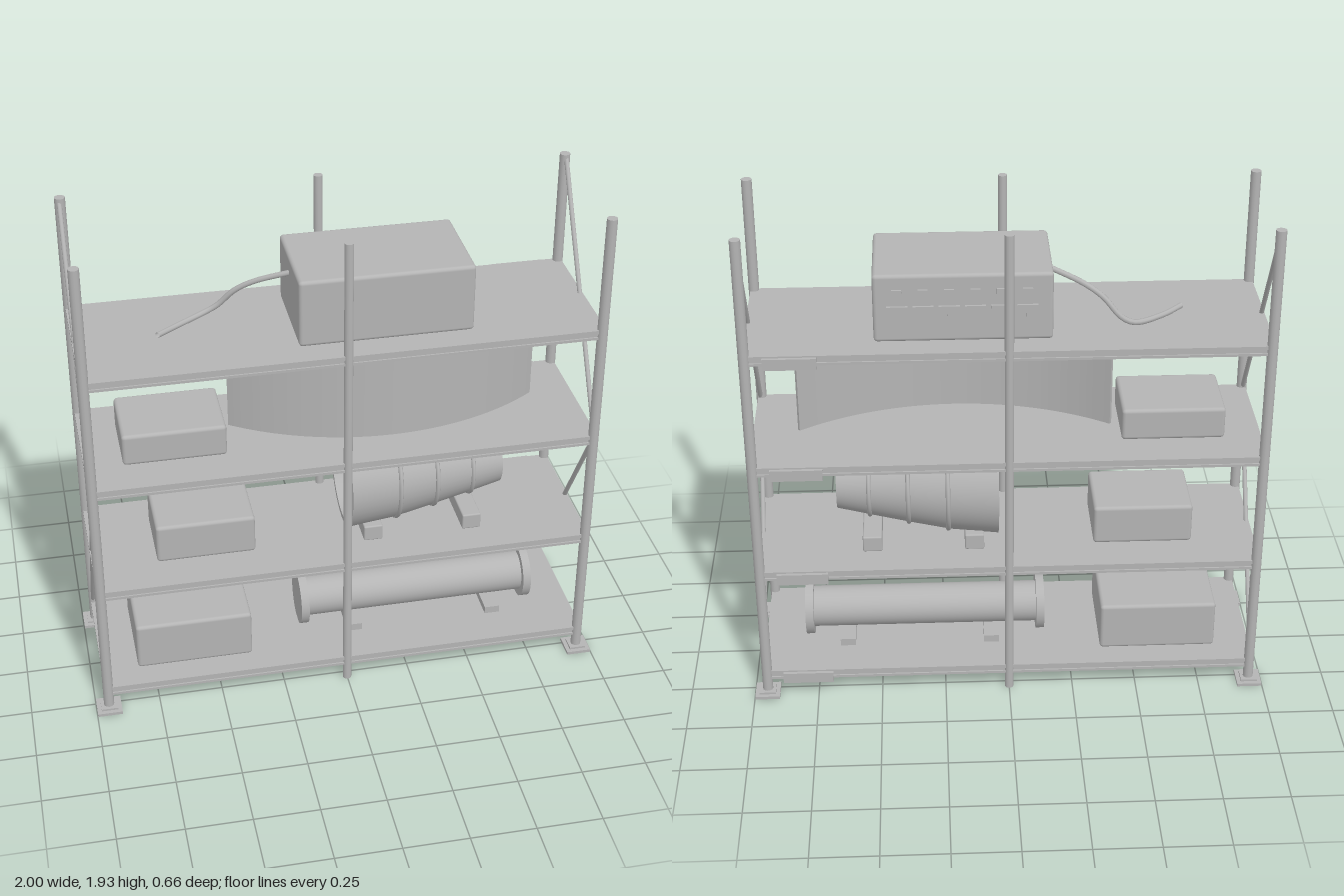
import * as THREE from 'three';
import { RoundedBoxGeometry } from 'three/addons/geometries/RoundedBoxGeometry.js';

export function createModel() {
  const model = new THREE.Group();
  model.name = 'storageRack';
  const grey = new THREE.MeshStandardMaterial({ color: 0xb4b4b4 });
  grey.name = 'grey';
  const greyDouble = new THREE.MeshStandardMaterial({ color: 0xb4b4b4, side: THREE.DoubleSide });
  greyDouble.name = 'grey';

  const add = (name, geo, x = 0, y = 0, z = 0, mat = grey) => {
    const m = new THREE.Mesh(geo, mat);
    m.name = name;
    m.position.set(x, y, z);
    model.add(m);
    return m;
  };
  // box given by its extents on each axis
  const box = (name, [x0, x1], [y0, y1], [z0, z1], round = 0) => {
    const s = [x1 - x0, y1 - y0, z1 - z0];
    const geo = round ? new RoundedBoxGeometry(...s, 2, round) : new THREE.BoxGeometry(...s);
    return add(name, geo, (x0 + x1) / 2, (y0 + y1) / 2, (z0 + z1) / 2);
  };
  // round bar between two points
  const bar = (name, a, b, r) => {
    const p = new THREE.Vector3(...a), q = new THREE.Vector3(...b);
    const d = q.clone().sub(p);
    const m = add(name, new THREE.CylinderGeometry(r, r, d.length(), 12));
    m.position.copy(p.add(q).multiplyScalar(0.5));
    m.quaternion.setFromUnitVectors(new THREE.Vector3(0, 1, 0), d.normalize());
    return m;
  };

  // posts and feet
  const H = 1.935;
  for (const z of [-0.28, 0.28]) {
    for (const x of [-0.95, 0.95]) {
      bar('cornerPost', [x, 0, z], [x, H, z], 0.02);
      box('footPlate', [x - 0.048, x + 0.048], [0, 0.012], [z - 0.048, z + 0.048]);
      box('footCollar', [x - 0.032, x + 0.032], [0.012, 0.02], [z - 0.032, z + 0.032]);
    }
    bar('middlePost', [0, 0, z], [0, H, z], 0.017);
  }

  // diagonal end braces
  for (const x of [-0.953, 0.953]) {
    bar('upperBrace', [x, 1.92, -0.27], [x, 1.03, 0.27], 0.009);
    bar('lowerBrace', [x, 1.0, 0.27], [x, 0.12, -0.27], 0.009);
  }

  // shelves with channel-shaped edge rails and a back label plate
  for (const top of [0.107, 0.567, 1.025, 1.485]) {
    box('shelfDeck', [-0.963, 0.963], [top - 0.014, top], [-0.29, 0.29]);
    for (const s of [-1, 1]) {
      const span = (a, b) => [Math.min(a * s, b * s), Math.max(a * s, b * s)];
      box('railWeb', [-0.963, 0.963], [top - 0.03, top - 0.014], span(0.274, 0.284));
      box('railLip', [-0.963, 0.963], [top - 0.038, top - 0.028], span(0.27, 0.29));
    }
    box('labelPlate', [0.69, 0.885], [top - 0.05, top - 0.006], [-0.303, -0.29]);
  }

  // storage boxes
  box('bottomBox', [-0.82, -0.365], [0.108, 0.305], [-0.195, 0.195], 0.014);
  box('secondBox', [-0.715, -0.333], [0.57, 0.73], [-0.145, 0.145], 0.014);
  box('thirdBox', [-0.82, -0.43], [1.028, 1.155], [-0.145, 0.145], 0.014);

  // instrument case with rear sockets and hose
  box('instrumentCase', [-0.163, 0.487], [1.487, 1.75], [-0.198, 0.195], 0.014);
  for (let i = 0; i < 6; i++) {
    const x = -0.07 + i * 0.094;
    box('rearSocket', [x - 0.018, x + 0.018], [1.672, 1.695], [-0.208, -0.196]);
    box('rearHandle', [x - 0.038, x + 0.038], [1.618, 1.63], [-0.208, -0.196]);
    box('rearStem', [x - 0.006, x + 0.006], [1.58, 1.618], [-0.206, -0.196]);
  }
  const hosePath = new THREE.CatmullRomCurve3([
    [-0.15, 1.69, -0.005], [-0.283, 1.64, -0.055], [-0.353, 1.596, -0.082], [-0.417, 1.527, -0.106],
    [-0.465, 1.503, -0.105], [-0.578, 1.497, -0.035], [-0.655, 1.503, 0.03],
  ].map((p) => new THREE.Vector3(...p)));
  add('hose', new THREE.TubeGeometry(hosePath, 32, 0.011, 8), 0, 0, 0, greyDouble);

  // curved panel, bulging to the front
  const R = 1.027, zc = 0.155 - R, half = Math.asin(0.595 / R), t = 0.012;
  const arc = new THREE.Shape();
  arc.absarc(0, 0, R, Math.PI / 2 - half, Math.PI / 2 + half, false);
  arc.absarc(0, 0, R - t, Math.PI / 2 + half, Math.PI / 2 - half, true);
  arc.closePath();
  const panelGeo = new THREE.ExtrudeGeometry(arc, { depth: 0.375, bevelEnabled: false, curveSegments: 24 });
  panelGeo.rotateX(Math.PI / 2);
  add('curvedPanel', panelGeo, 0.195, 1.42, zc);

  // tapered nozzle: hollow at the wide end, closed at the narrow end
  const profile = [
    [0, 0.62], [0.105, 0.62], [0.105, 0.62], [0.133, 0.495], [0.165, 0.345], [0.196, 0.19], [0.216, 0],
    [0.216, 0], [0.196, 0], [0.196, 0], [0.176, 0.19], [0.145, 0.345], [0.09, 0.6], [0.09, 0.6], [0, 0.6],
  ].map(([r, h]) => new THREE.Vector2(r, h));
  const nozzle = add('nozzle', new THREE.LatheGeometry(profile, 40), 0.035, 0.795, 0, greyDouble);
  nozzle.rotation.z = -Math.PI / 2;
  for (const [x, r] of [[0.228, 0.196], [0.38, 0.166], [0.53, 0.134]]) {
    add('nozzleRing', new THREE.TorusGeometry(r, 0.009, 8, 40), x, 0.795, 0).rotation.y = Math.PI / 2;
  }
  for (const x of [0.128, 0.522]) {
    box('nozzleSupport', [x - 0.037, x + 0.037], [0.567, 0.632], [-0.16, 0.16], 0.006);
  }

  // flanged cylinder on low blocks
  bar('cylinderBody', [-0.13, 0.213, 0], [0.78, 0.213, 0], 0.081).geometry =
    new THREE.CylinderGeometry(0.081, 0.081, 0.91, 32);
  for (const x of [-0.133, 0.785]) {
    add('cylinderFlange', new THREE.CylinderGeometry(0.11, 0.11, 0.032, 32), x, 0.213, 0).rotation.z = Math.PI / 2;
  }
  for (const x of [0.063, 0.635]) {
    box('cylinderSupport', [x - 0.03, x + 0.03], [0.107, 0.137], [-0.13, 0.13]);
  }
  return model;
}
